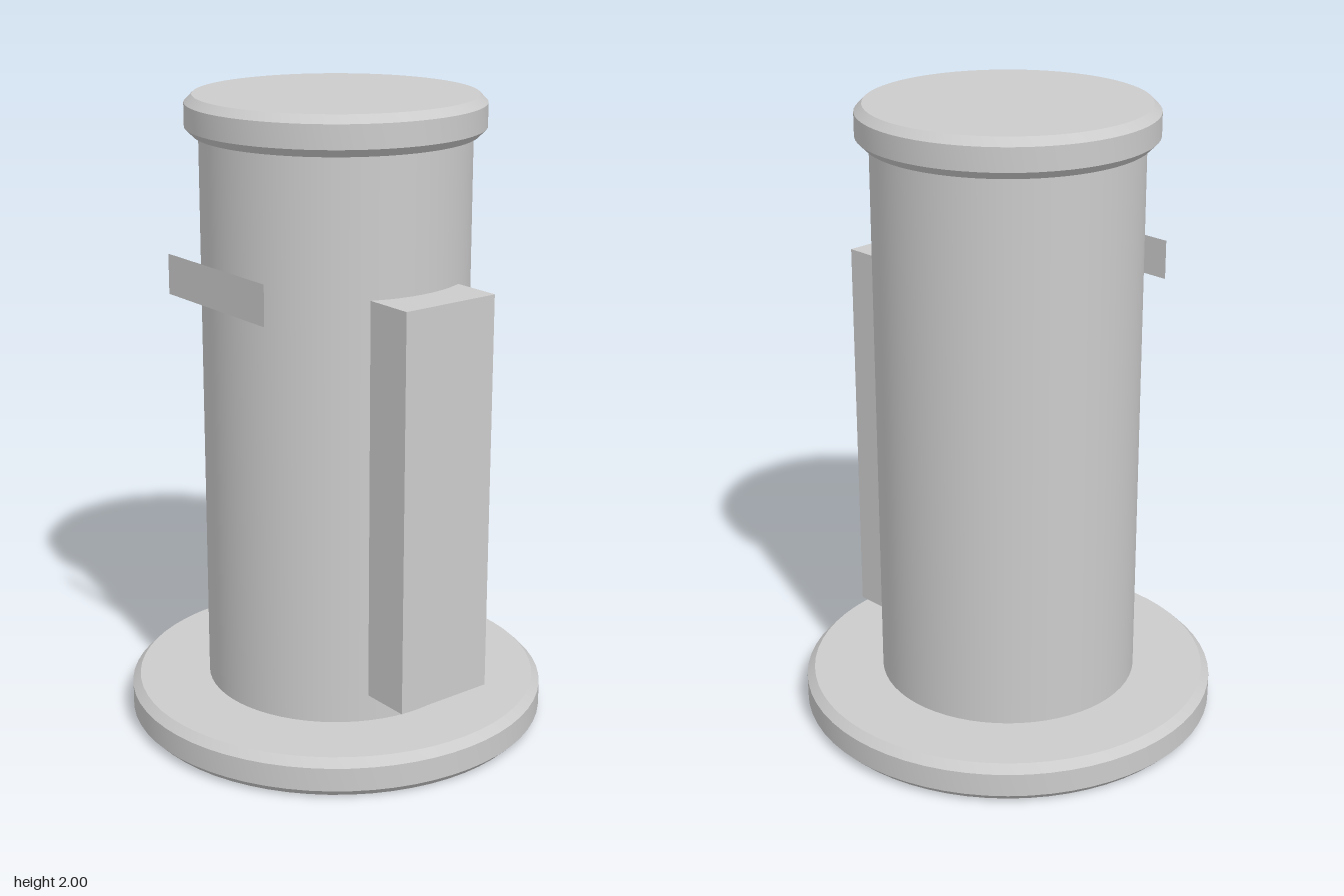
import * as THREE from 'three';
import { toCreasedNormals } from 'three/addons/utils/BufferGeometryUtils.js';

const SEGMENTS = 64;
const grey = new THREE.MeshStandardMaterial({ color: 0xcccccc });
const greyThin = new THREE.MeshStandardMaterial({ color: 0xcccccc, side: THREE.DoubleSide });

function addPart(group, name, geometry, x, y, z, material = grey) {
  const mesh = new THREE.Mesh(geometry, material);
  mesh.name = name;
  mesh.position.set(x, y, z);
  group.add(mesh);
}

// Round disc standing on y = 0 with chamfered rims
function chamferedDisc(radius, height, chamfer) {
  const profile = [
    [0, 0], [radius - chamfer, 0], [radius, chamfer],
    [radius, height - chamfer], [radius - chamfer, height], [0, height],
  ].map(([r, y]) => new THREE.Vector2(r, y));
  return toCreasedNormals(new THREE.LatheGeometry(profile, SEGMENTS), Math.PI / 6);
}

export function createModel() {
  const group = new THREE.Group();
  group.name = 'pillar';

  // Base, column and cap
  addPart(group, 'base', chamferedDisc(0.665, 0.125, 0.025), 0, 0, 0);
  addPart(group, 'column', new THREE.CylinderGeometry(0.414, 0.414, 1.8, SEGMENTS), 0, 1.0, 0);
  addPart(group, 'cap', chamferedDisc(0.456, 0.12, 0.024), 0, 1.88, 0);

  // Tall box let into the column's left side
  addPart(group, 'sideBox', new THREE.BoxGeometry(0.18, 1.25, 0.334), 0.45, 0.835, 0);

  // Thin flat plate just ahead of the column
  addPart(group, 'frontPlate', new THREE.PlaneGeometry(0.495, 0.125), 0, 1.4625, 0.45, greyThin);

  return group;
}
